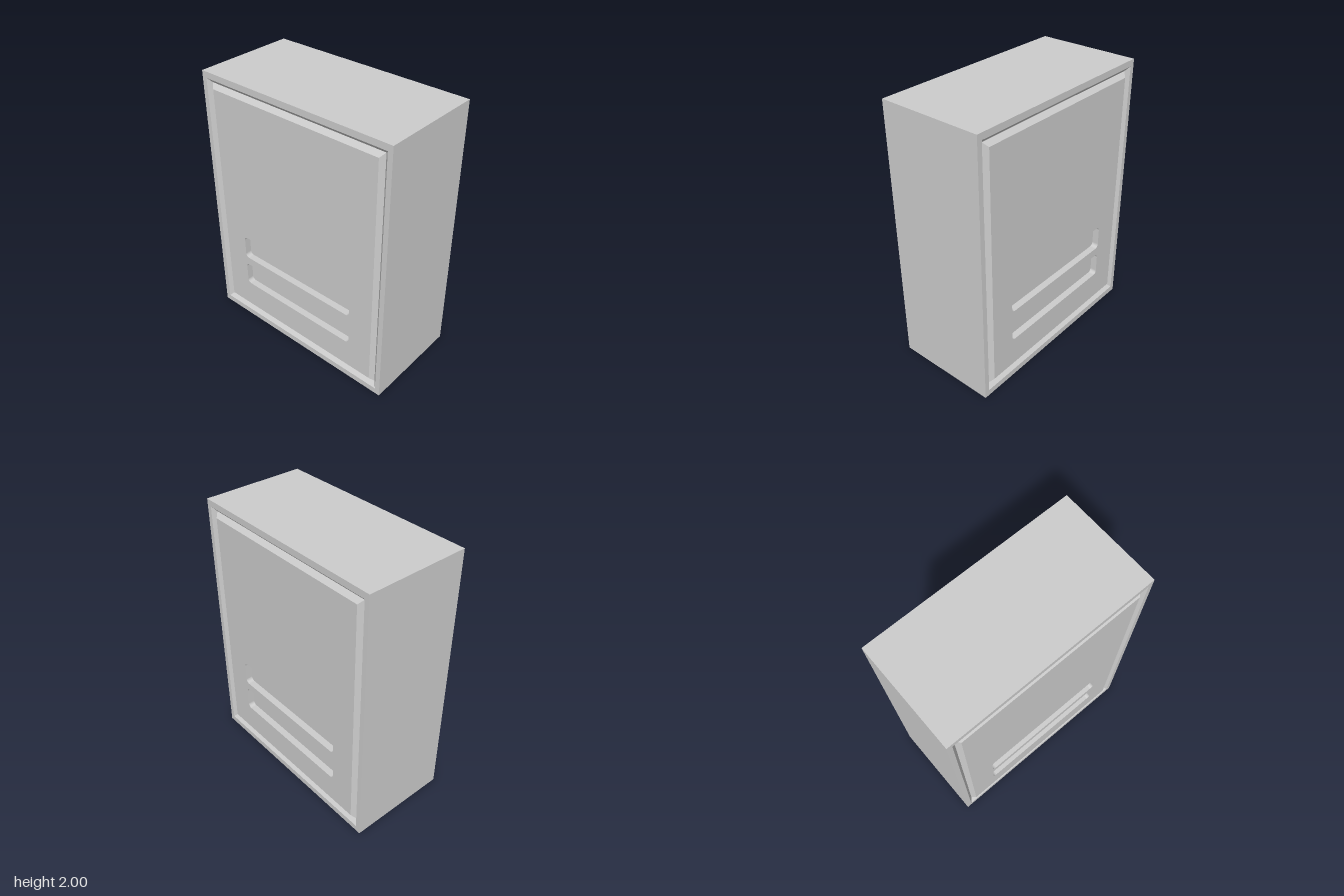
import * as THREE from 'three';

const HX = 0.79, HY = 1, HZ = 0.388;   // half sizes of the cabinet
const GROOVE = 0.03, RECESS = 0.05;    // depths of the V groove and the slots
const PX = 0.695, PY = 0.89;           // half sizes of the door panel

// Flat-faced walls between successive rectangular rings [halfX, halfY, z]
function rectLoft(rings) {
  const corners = ([x, y, z]) => [[-x, -y, z], [x, -y, z], [x, y, z], [-x, y, z]];
  const pos = [];
  for (let i = 0; i < rings.length - 1; i++) {
    const a = corners(rings[i]), b = corners(rings[i + 1]);
    for (let k = 0; k < 4; k++) {
      const n = (k + 1) % 4;
      pos.push(...a[k], ...a[n], ...b[n], ...a[k], ...b[n], ...b[k]);
    }
  }
  const geo = new THREE.BufferGeometry();
  geo.setAttribute('position', new THREE.Float32BufferAttribute(pos, 3));
  geo.computeVertexNormals();
  return geo;
}

// Rounded rectangle outline centred on (0, cy)
function roundedRect(target, w, h, cy, r) {
  const x = w / 2, t = cy + h / 2, b = cy - h / 2;
  target.moveTo(-x + r, b).lineTo(x - r, b);
  target.absarc(x - r, b + r, r, -Math.PI / 2, 0, false);
  target.absarc(x - r, t - r, r, 0, Math.PI / 2, false);
  target.absarc(-x + r, t - r, r, Math.PI / 2, Math.PI, false);
  target.absarc(-x + r, b + r, r, Math.PI, Math.PI * 1.5, false);
  return target;
}

// Door panel with two label slots cut through it
function panelGeometry() {
  const shape = new THREE.Shape();
  shape.moveTo(-PX, -PY).lineTo(PX, -PY).lineTo(PX, PY).lineTo(-PX, PY).closePath();
  for (const cy of [-0.33, -0.58]) {
    shape.holes.push(roundedRect(new THREE.Path(), 1.01, 0.186, cy, 0.03));
  }
  const geo = new THREE.ExtrudeGeometry(shape, { depth: RECESS, bevelEnabled: false, curveSegments: 6 });
  return geo.translate(0, 0, HZ - RECESS);
}

export function createModel() {
  const model = new THREE.Group();
  model.name = 'cabinet';
  const grey = new THREE.MeshStandardMaterial({ color: 0xcccccc });
  grey.name = 'light grey';

  const add = (parent, name, geo) => {
    const mesh = new THREE.Mesh(geo, grey);
    mesh.name = name;
    parent.add(mesh);
    return mesh;
  };

  // Outer walls, open at both faces
  add(model, 'outerWalls', rectLoft([[HX, HY, -HZ], [HX, HY, HZ]])).position.y = HY;

  // Solid core, whose faces are the slot floors
  add(model, 'core', new THREE.BoxGeometry(PX * 2, PY * 2, (HZ - RECESS) * 2)).position.y = HY;

  // Rim, V groove and slotted panel, the same on front and back
  const frame = rectLoft([
    [HX, HY, HZ],
    [0.753, 0.954, HZ],
    [0.724, 0.922, HZ - GROOVE],
    [PX, PY, HZ],
  ]);
  const panel = panelGeometry();
  for (const [side, turn] of [['front', 0], ['back', Math.PI]]) {
    const face = new THREE.Group();
    face.name = side + 'Face';
    face.position.y = HY;
    face.rotation.y = turn;
    add(face, side + 'Frame', frame);
    add(face, side + 'Panel', panel);
    model.add(face);
  }
  return model;
}
